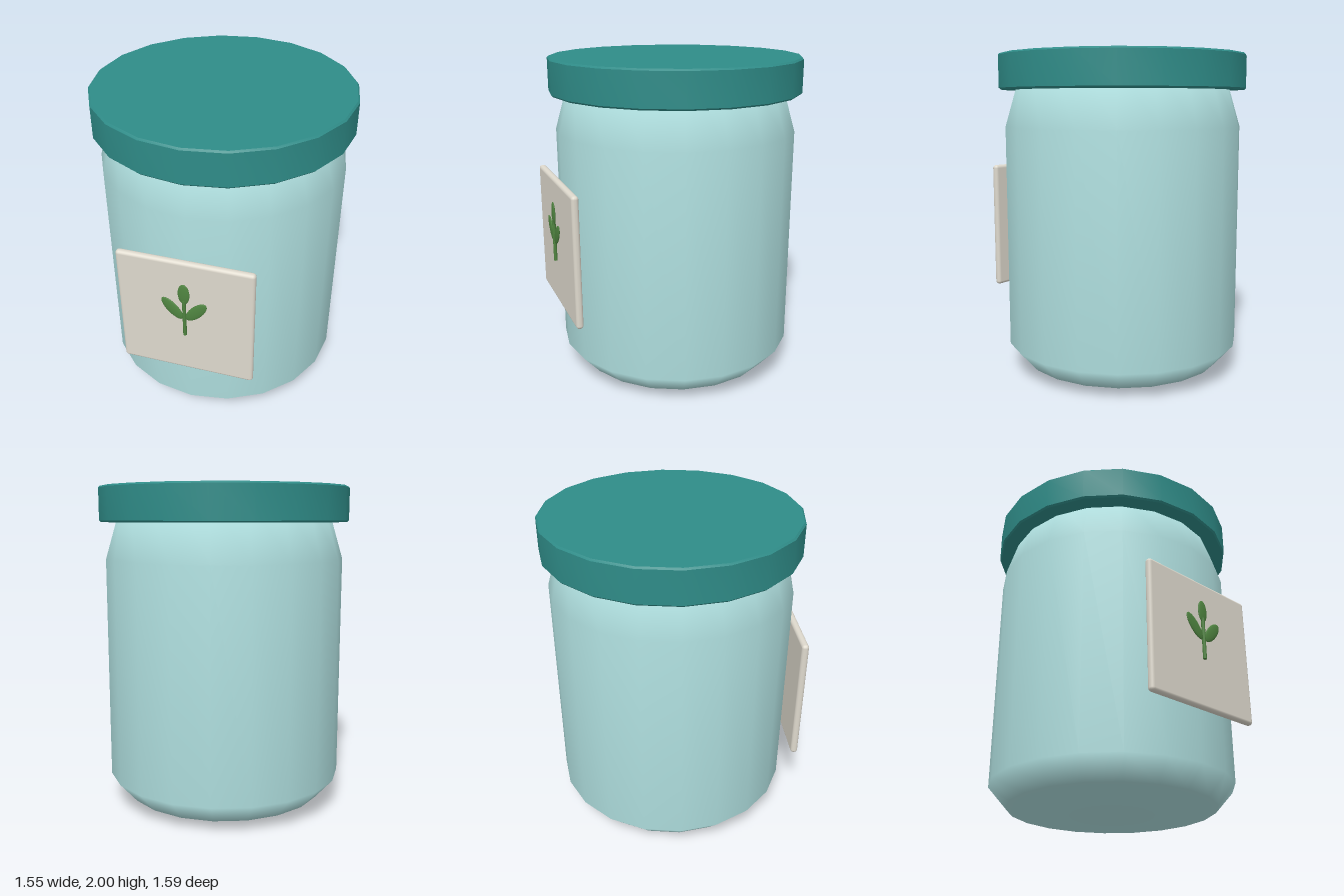
import * as THREE from 'three';
import { toCreasedNormals } from 'three/addons/utils/BufferGeometryUtils.js';
import { RoundedBoxGeometry } from 'three/addons/geometries/RoundedBoxGeometry.js';

const SIDES = 20;
const AXIS_Z = -0.025;
const LEAF_Z = 0.775;

const material = (color) => new THREE.MeshStandardMaterial({ color });

const lathe = (points) =>
  new THREE.LatheGeometry(points.map(([r, y]) => new THREE.Vector2(r, y)), SIDES);

function addPart(parent, name, geometry, mat, x = 0, y = 0, z = 0) {
  const mesh = new THREE.Mesh(geometry, mat);
  mesh.name = name;
  mesh.position.set(x, y, z);
  parent.add(mesh);
  return mesh;
}

export function createModel() {
  const model = new THREE.Group();
  model.name = 'jar';

  // Jar body: shallow pointed base, bevelled foot, straight wall, sloping shoulder
  const body = lathe([[0, 0.005], [0.63, 0.065], [0.74, 0.19], [0.74, 1.56], [0.64, 1.9], [0, 1.9]]);
  addPart(model, 'jarBody', body, material(0xb0e0e0), 0, 0, AXIS_Z);

  // Lid: short drum with a fine bevel on both rims
  const lid = lathe([[0, 1.785], [0.765, 1.785], [0.775, 1.795], [0.775, 1.99], [0.765, 2], [0, 2]]);
  addPart(model, 'lid', toCreasedNormals(lid, 0.6), material(0x2f8c88), 0, 0, AXIS_Z);

  // Label plate on the front
  addPart(model, 'label', new RoundedBoxGeometry(0.81, 0.81, 0.044, 3, 0.02), material(0xded9cd), 0, 0.89, 0.74);

  // Sprig: a stem with one upright leaf and a mirrored pair
  const sprig = new THREE.Group();
  sprig.name = 'sprig';
  model.add(sprig);
  const green = material(0x4f8440);
  addPart(sprig, 'stem', new THREE.CylinderGeometry(0.011, 0.011, 0.26, 10), green, 0, 0.91, LEAF_Z);
  const leaf = new THREE.SphereGeometry(1, 20, 12);
  addPart(sprig, 'topLeaf', leaf, green, 0, 1.085, LEAF_Z).scale.set(0.035, 0.071, 0.009);
  for (const side of [1, -1]) {
    const mesh = addPart(sprig, side > 0 ? 'leftLeaf' : 'rightLeaf', leaf, green, side * 0.071, 0.968, LEAF_Z);
    mesh.scale.set(0.037, 0.089, 0.009);
    mesh.rotation.z = -side * 0.71;
  }

  return model;
}
